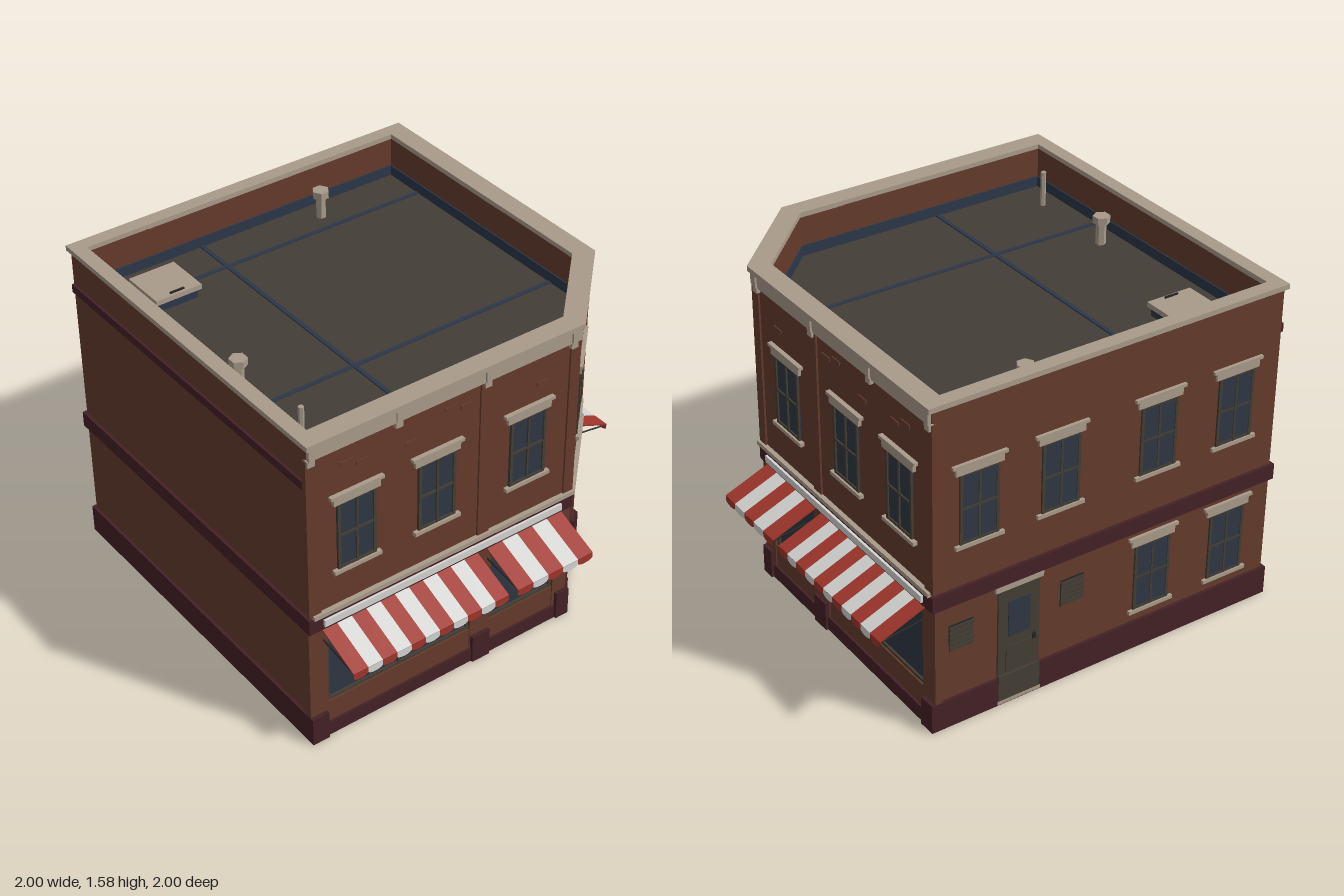
import * as THREE from 'three';

const mat = (name, color, side = THREE.FrontSide) => {
  const m = new THREE.MeshStandardMaterial({ color, side });
  m.name = name;
  return m;
};
const brick = mat('brick', 0x653b2b), maroon = mat('maroon stone', 0x442125), tan = mat('tan stone', 0xa99b8a);
const glass = mat('slate glass', 0x2f3743), frame = mat('olive frame', 0x443e34), roof = mat('roof felt', 0x443d37);
const dark = mat('dark metal', 0x262424), slate = mat('slate flashing', 0x2c3748);
const red = mat('awning red', 0xa0352c, THREE.DoubleSide), white = mat('awning white', 0xd4d4d2, THREE.DoubleSide);

function add(parent, name, geo, material) {
  const m = new THREE.Mesh(geo, material);
  m.name = name;
  parent.add(m);
  return m;
}
// Box given by its limits on each axis
function box(parent, name, material, x0, x1, y0, y1, z0, z1) {
  const g = new THREE.BoxGeometry(Math.abs(x1 - x0), y1 - y0, z1 - z0);
  g.translate((x0 + x1) / 2, (y0 + y1) / 2, (z0 + z1) / 2);
  return add(parent, name, g, material);
}
// Square outline from b to f with the corner cut along x + z = c
const outline = (b, f, c) =>
  [[b, f], [c - f, f], [f, c - f], [f, b], [b, b]].map(([x, z]) => new THREE.Vector2(x, -z));
function prism(parent, name, material, y0, y1, outer, inner) {
  const s = new THREE.Shape(outline(...outer));
  if (inner) s.holes.push(new THREE.Path(outline(...inner).reverse()));
  const g = new THREE.ExtrudeGeometry(s, { depth: y1 - y0, bevelEnabled: false });
  g.rotateX(-Math.PI / 2).translate(0, y0, 0);
  return add(parent, name, g, material);
}

// Framed glazing on a wall plane z, divided by bars
function glazing(parent, name, x, y0, y1, w, z, cols, rows, depth) {
  const g = new THREE.Group(), h = w / 2, t = 0.014;
  g.name = name;
  parent.add(g);
  box(g, 'glass', glass, x - h, x + h, y0, y1, z - 0.002, z + 0.005);
  for (let i = 0; i <= cols; i++) {
    const b = i % cols ? t * 0.7 : t, c = x - h + t / 2 + (w - t) * i / cols;
    box(g, 'upright', frame, c - b / 2, c + b / 2, y0, y1, z, z + depth);
  }
  for (let i = 0; i <= rows; i++) {
    const b = i % rows ? t * 0.7 : t, c = y0 + t / 2 + (y1 - y0 - t) * i / rows;
    box(g, 'rail', frame, x - h, x + h, c - b / 2, c + b / 2, z, z + depth - 0.001);
  }
  return g;
}
// Sash window with stone lintel and sill that project by d
function sashWindow(parent, x, y0, z, w = 0.19, d = 0.021) {
  const g = glazing(parent, 'sashWindow', x, y0, y0 + 0.34, w, z, 2, 2, d * 0.6);
  const a = w / 2 + 0.02, b = w / 2 + 0.036, t = y0 + 0.335;
  box(g, 'lintel', tan, x - a, x + a, t, t + 0.035, z, z + d * 0.75);
  box(g, 'lintelCap', tan, x - b, x + b, t + 0.035, t + 0.05, z, z + d);
  box(g, 'sill', tan, x - a - 0.003, x + a + 0.003, y0 - 0.015, y0 + 0.003, z, z + d);
}

// Sloping striped awning with scalloped valance and thin arms
function awning(parent, x0, x1, n) {
  const g = new THREE.Group();
  g.name = 'awning';
  parent.add(g);
  const yA = 0.61, zA = 0.78, yB = 0.522, zB = 0.998, w = (x1 - x0) / n, h = Math.abs(w) / 2;
  const len = Math.hypot(yA - yB, zB - zA);
  for (let i = 0; i < n; i++) {
    const m = i % 2 ? white : red, x = x0 + (i + 0.5) * w;
    const p = new THREE.BoxGeometry(2 * h, len, 0.007);
    p.rotateX(-Math.atan2(zB - zA, yA - yB)).translate(x, (yA + yB) / 2, (zA + zB) / 2);
    add(g, 'awningStripe', p, m);
    const s = new THREE.Shape();
    s.moveTo(-h, 0);
    s.lineTo(-h, -0.024);
    s.bezierCurveTo(-h * 0.7, -0.04, h * 0.7, -0.04, h, -0.024);
    s.lineTo(h, 0);
    add(g, 'valance', new THREE.ShapeGeometry(s, 6).translate(x, yB, zB + 0.001), m);
  }
  for (const x of [x0 + w * 0.15, x1 - w * 0.15]) {
    const path = new THREE.LineCurve3(new THREE.Vector3(x, 0.545, 0.77), new THREE.Vector3(x, 0.511, 0.995));
    add(g, 'awningArm', new THREE.TubeGeometry(path, 1, 0.004, 5), dark);
  }
}

// Shop facade facing local +z; s mirrors it along x
function facade(s) {
  const g = new THREE.Group();
  const bx = (name, m, x0, x1, ...r) => box(g, name, m, s * x0, s * x1, ...r);
  // Ground floor
  bx('sillPanel', brick, -0.98, 0.395, 0.07, 0.18, 0.74, 0.77);
  bx('shopHeader', brick, -0.98, 0.395, 0.58, 0.62, 0.74, 0.77);
  for (const [a, b] of [[-0.998, -0.905], [-0.15, -0.045], [0.32, 0.395]]) bx('pier', brick, a, b, 0.07, 0.62, 0.74, 0.775);
  for (const [a, b] of [[-1, -0.915], [-0.145, -0.05], [0.335, 0.405]]) bx('pierBase', maroon, a, b, 0, 0.142, 0.74, 0.793);
  glazing(g, 'shopWindow', s * -0.5275, 0.18, 0.58, 0.755, 0.747, 2, 1, 0.016);
  glazing(g, 'shopWindow', s * 0.1375, 0.18, 0.58, 0.365, 0.747, 1, 1, 0.016);
  bx('awningHousing', white, -0.93, 0.33, 0.633, 0.667, 0.78, 0.799);
  awning(g, s * -0.935, s * -0.125, 11);
  awning(g, s * -0.075, s * 0.34, 5);
  // Upper floor
  for (const x of [-0.755, -0.35, 0.13]) sashWindow(g, s * x, 0.89, 0.775);
  for (const [a, b] of [[-0.998, -0.937], [-0.13, -0.07], [0.345, 0.398]]) bx('pilaster', brick, a, b, 0.7, 1.5, 0.76, 0.784);
  for (const x of [-0.975, -0.55, -0.1, 0.355]) {
    bx('bracket', tan, x - 0.013, x + 0.013, 1.5, 1.56, 0.78, 0.797);
    bx('bracketFoot', tan, x - 0.017, x + 0.017, 1.474, 1.502, 0.77, 0.794);
  }
  // A few raised bricks
  for (const [x, y] of [[-0.8, 1.4], [-0.72, 1.37], [-0.48, 1.35], [-0.28, 1.43], [-0.2, 1.41], [0.2, 1.35]])
    bx('raisedBrick', brick, x - 0.03, x + 0.03, y, y + 0.018, 0.77, 0.78);
  return g;
}

// Cut corner with the double entrance door, built facing local +z
function cornerEntrance() {
  const g = new THREE.Group();
  g.name = 'cornerEntrance';
  const z = 0.793;
  box(g, 'doorSurround', frame, -0.2, 0.2, 0.02, 0.6, z - 0.01, z + 0.004);
  box(g, 'doorStep', maroon, -0.2, 0.2, 0, 0.02, z - 0.01, z + 0.034);
  box(g, 'transom', glass, -0.18, 0.18, 0.583, 0.605, z, z + 0.008);
  box(g, 'cornerHeader', brick, -0.26, 0.26, 0.605, 0.62, z - 0.01, 0.827);
  for (const s of [-1, 1]) {
    box(g, 'cornerPier', brick, s * 0.2, s * 0.268, 0.07, 0.62, 0.77, 0.827);
    box(g, 'cornerPierBase', maroon, s * 0.2, s * 0.278, 0, 0.142, 0.77, 0.838);
    box(g, 'doorLeaf', frame, s * 0.004, s * 0.19, 0.025, 0.575, z, z + 0.009);
    const pane = new THREE.Shape([[-0.068, 0.14], [-0.05, 0.115], [0.05, 0.115], [0.068, 0.14], [0.068, 0.53], [0.05, 0.555], [-0.05, 0.555], [-0.068, 0.53]].map(p => new THREE.Vector2(...p)));
    const geo = new THREE.ExtrudeGeometry(pane, { depth: 0.005, bevelEnabled: false });
    add(g, 'doorGlass', geo.translate(s * 0.105, 0, z + 0.007), glass);
    box(g, 'doorHandle', dark, s * 0.015, s * 0.027, 0.21, 0.355, z + 0.008, z + 0.026);
  }
  sashWindow(g, 0, 0.89, 0.824, 0.24);
  box(g, 'bracket', tan, -0.015, 0.015, 1.5, 1.56, 0.83, 0.847);
  box(g, 'bracketFoot', tan, -0.02, 0.02, 1.474, 1.502, 0.82, 0.843);
  g.rotation.y = Math.PI / 4;
  return g;
}

// Service side, built facing local +z
function rearWall() {
  const g = new THREE.Group();
  g.name = 'rearWall';
  const z = 0.985;
  for (const x of [0.755, 0.345, -0.155, -0.555]) sashWindow(g, x, 0.89, z, 0.19, 0.015);
  for (const x of [0.755, 0.345]) sashWindow(g, x, 0.2, z, 0.19, 0.015);
  box(g, 'rearDoorFrame', frame, -0.46, -0.25, 0.02, 0.59, z - 0.02, z + 0.008);
  box(g, 'rearDoorPlinthFace', frame, -0.46, -0.25, 0.02, 0.15, z - 0.02, z + 0.017);
  box(g, 'rearDoorGlass', glass, -0.41, -0.3, 0.34, 0.52, z, z + 0.012);
  box(g, 'rearDoorPanel', frame, -0.42, -0.29, 0.16, 0.29, z, z + 0.012);
  box(g, 'rearDoorHandle', dark, -0.285, -0.27, 0.28, 0.31, z, z + 0.015);
  box(g, 'rearLintel', tan, -0.475, -0.235, 0.585, 0.612, z - 0.02, z + 0.014);
  box(g, 'rearStep', tan, -0.465, -0.245, 0.005, 0.022, z - 0.02, z + 0.018);
  for (const x of [-0.64, -0.08]) {
    box(g, 'louvreBack', dark, x - 0.06, x + 0.06, 0.38, 0.51, z - 0.01, z + 0.003);
    for (let i = 0; i < 5; i++) box(g, 'louvreSlat', frame, x - 0.06, x + 0.06, 0.384 + i * 0.025, 0.403 + i * 0.025, z, z + 0.008);
  }
  g.rotation.y = Math.PI;
  return g;
}

// Six-sided roof pipe, with a wider cap when a cap radius is given
function vent(parent, name, x, z, y1, turn, r, cap) {
  const tube = (n, rad, a, b) => {
    const geo = new THREE.CylinderGeometry(rad, rad, b - a, 6).toNonIndexed();
    geo.computeVertexNormals();
    add(parent, n, geo.rotateY(turn).translate(x, (a + b) / 2, z), tan);
  };
  tube(name, r, 1.36, y1);
  if (cap) tube(name + 'Cap', cap, y1 - 0.005, y1 + 0.03);
}

export function createModel() {
  const g = new THREE.Group();
  g.name = 'cornerShop';
  // Body and horizontal bands
  prism(g, 'groundFloor', brick, 0.005, 0.62, [-0.985, 0.745, 1.12]);
  prism(g, 'frontPlinth', maroon, 0, 0.07, [-0.995, 0.782, 1.115]);
  prism(g, 'rearPlinth', maroon, 0, 0.14, [-1, 0.74, 1.11]);
  prism(g, 'upperFloor', brick, 0.62, 1.36, [-0.985, 0.775, 1.17]);
  prism(g, 'signBand', maroon, 0.614, 0.69, [-1, 0.787, 1.185]);
  prism(g, 'bandLedge', tan, 0.687, 0.708, [-0.98, 0.797, 1.198]);
  box(g, 'sideBand', maroon, -0.997, -0.98, 1.35, 1.39, -0.985, 0.775);
  // Parapet and roof
  const inner = [-0.932, 0.705, 1.065];
  prism(g, 'parapet', brick, 1.36, 1.56, [-0.985, 0.775, 1.17], inner);
  prism(g, 'frieze', tan, 1.497, 1.56, [-0.98, 0.788, 1.186], [-0.96, 0.75, 1.12]);
  prism(g, 'coping', tan, 1.558, 1.582, [-1, 0.8, 1.2], inner);
  prism(g, 'roofDeck', roof, 1.355, 1.37, [-0.94, 0.715, 1.08]);
  prism(g, 'flashing', slate, 1.365, 1.42, [-0.94, 0.715, 1.08], [-0.926, 0.699, 1.057]);
  box(g, 'roofSeam', slate, -0.37, -0.35, 1.365, 1.376, -0.93, 0.7);
  for (const z of [-0.72, 0.23]) box(g, 'roofSeam', slate, -0.93, 0.7, 1.365, 1.375, z - 0.01, z + 0.01);
  // Roof hatch and vents
  box(g, 'hatchBase', slate, -0.795, -0.595, 1.36, 1.415, -0.795, -0.595);
  box(g, 'hatchLid', tan, -0.81, -0.58, 1.412, 1.436, -0.81, -0.585);
  box(g, 'hatchHandle', dark, -0.73, -0.66, 1.43, 1.444, -0.606, -0.599);
  vent(g, 'roofVent', 0.22, -0.82, 1.48, Math.PI / 6, 0.024, 0.04);
  vent(g, 'roofVent', -0.82, 0.06, 1.48, 0, 0.024, 0.04);
  vent(g, 'thinPipe', -0.83, 0.52, 1.54, 0, 0.013);
  // Walls
  const front = facade(1), side = facade(-1);
  front.name = 'frontFacade';
  side.name = 'sideFacade';
  side.rotation.y = Math.PI / 2;
  g.add(front, side, cornerEntrance(), rearWall());
  return g;
}
